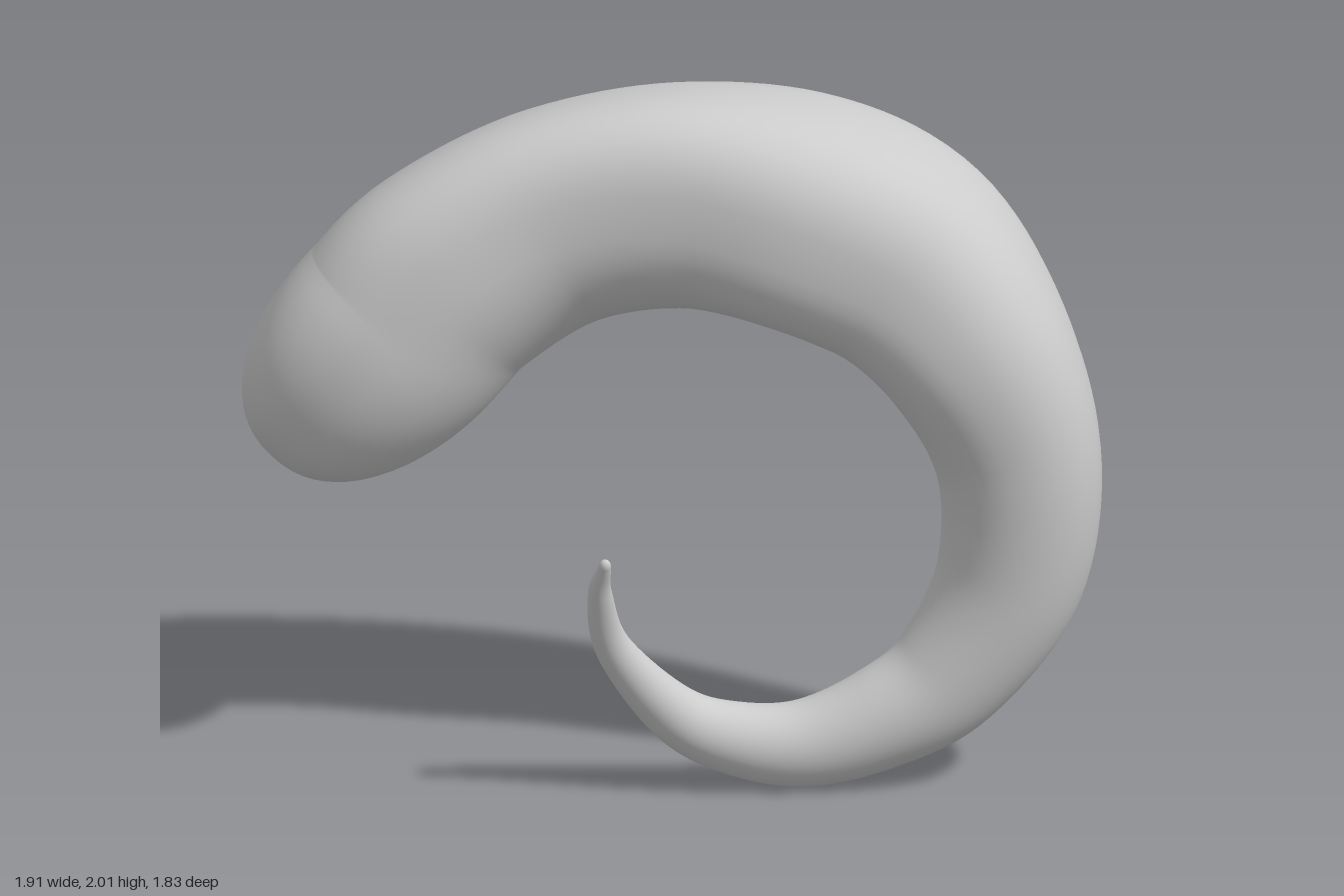
import * as THREE from 'three';

// Horn stations: centre x, y, z, half-height in the curl plane, half-thickness,
// squareness exponent, slant of the section across its thickness
const stations = [
  [-0.57, 1.30, 0.475, 0.34, 0.335, 2.4, 0.18],
  [-0.475, 1.455, 0.355, 0.338, 0.34, 2.45, 0.22],
  [-0.295, 1.615, 0.12, 0.325, 0.34, 2.5, 0.22],
  [-0.04, 1.685, -0.12, 0.32, 0.335, 2.6, 0.13],
  [0.23, 1.65, -0.335, 0.315, 0.335, 2.6, -0.05],
  [0.45, 1.52, -0.515, 0.305, 0.315, 2.5, -0.10],
  [0.64, 1.27, -0.62, 0.27, 0.275, 2.3, -0.06],
  [0.735, 0.95, -0.69, 0.235, 0.22, 2.1, 0],
  [0.715, 0.60, -0.675, 0.21, 0.19, 2, 0],
  [0.61, 0.32, -0.54, 0.172, 0.16, 2, 0],
  [0.495, 0.195, -0.385, 0.147, 0.14, 2, 0],
  [0.36, 0.127, -0.215, 0.125, 0.12, 2, 0],
  [0.235, 0.15, -0.055, 0.104, 0.1, 2, 0],
  [0.142, 0.235, 0.085, 0.083, 0.08, 2, 0],
  [0.075, 0.45, 0.255, 0.053, 0.049, 2, 0],
  [0.105, 0.64, 0.34, 0.035, 0.033, 2, 0],
  [0.156, 0.745, 0.372, 0.018, 0.018, 2, 0],
];
const SIDES = 48, STEPS = 140, CAP = 20, DOME = 1.5;

function hornGeometry() {
  const curve = pick => new THREE.CatmullRomCurve3(
    stations.map(s => new THREE.Vector3(...pick(s))), false, 'catmullrom', 0.5);
  const path = curve(s => [s[0], s[1], s[2]]);
  const sizes = curve(s => [s[3], s[4], s[5]]);
  const slants = curve(s => [s[6], 0, 0]);
  const across = new THREE.Vector3(1, 0, 1).normalize();
  const positions = [], indices = [];

  // One cross-section; shift moves it along the path, shrink closes the rounded ends
  const addRing = (t, shift, shrink) => {
    const tangent = path.getTangent(t);
    const size = sizes.getPoint(t);
    const slant = slants.getPoint(t).x;
    const centre = path.getPoint(t).addScaledVector(tangent, shift * size.x);
    const side = across.clone().addScaledVector(tangent, -across.dot(tangent)).normalize();
    const normal = new THREE.Vector3().crossVectors(side, tangent);
    const power = 2 / size.z;
    for (let j = 0; j < SIDES; j++) {
      const a = (j / SIDES) * Math.PI * 2, c = Math.cos(a), s = Math.sin(a);
      const b = Math.sign(s) * Math.abs(s) ** power * size.y * shrink;
      const n = Math.sign(c) * Math.abs(c) ** power * size.x * shrink + slant * b;
      const p = centre.clone().addScaledVector(normal, n).addScaledVector(side, b);
      positions.push(p.x, p.y, p.z);
    }
  };

  // Domed root, curling body, rounded tip
  for (let i = 0; i < CAP; i++) {
    const a = (1 - i / CAP) * Math.PI / 2;
    addRing(0, -DOME * Math.sin(a), Math.max(Math.cos(a) ** 0.9, 0.001));
  }
  for (let i = 0; i <= STEPS; i++) addRing(i / STEPS, 0, 1);
  for (let i = 1; i <= CAP; i++) {
    const a = (i / CAP) * Math.PI / 2;
    addRing(1, DOME * Math.sin(a), Math.max(Math.cos(a), 0.001));
  }

  const rings = positions.length / 3 / SIDES;
  for (let i = 0; i < rings - 1; i++) {
    for (let j = 0; j < SIDES; j++) {
      const k = (j + 1) % SIDES;
      const a = i * SIDES + j, b = i * SIDES + k, c = a + SIDES, d = b + SIDES;
      indices.push(a, b, c, b, d, c);
    }
  }
  const geometry = new THREE.BufferGeometry();
  geometry.setAttribute('position', new THREE.Float32BufferAttribute(positions, 3));
  geometry.setIndex(indices);

  // Stand on the ground, centred
  geometry.computeBoundingBox();
  const box = geometry.boundingBox, mid = box.getCenter(new THREE.Vector3());
  geometry.translate(-mid.x, -box.min.y, -mid.z);
  geometry.computeVertexNormals();
  return geometry;
}

export function createModel() {
  const group = new THREE.Group();
  const material = new THREE.MeshStandardMaterial({ color: 0xcccccc, side: THREE.DoubleSide });
  const horn = new THREE.Mesh(hornGeometry(), material);
  horn.name = 'curledHorn';
  group.add(horn);
  return group;
}
